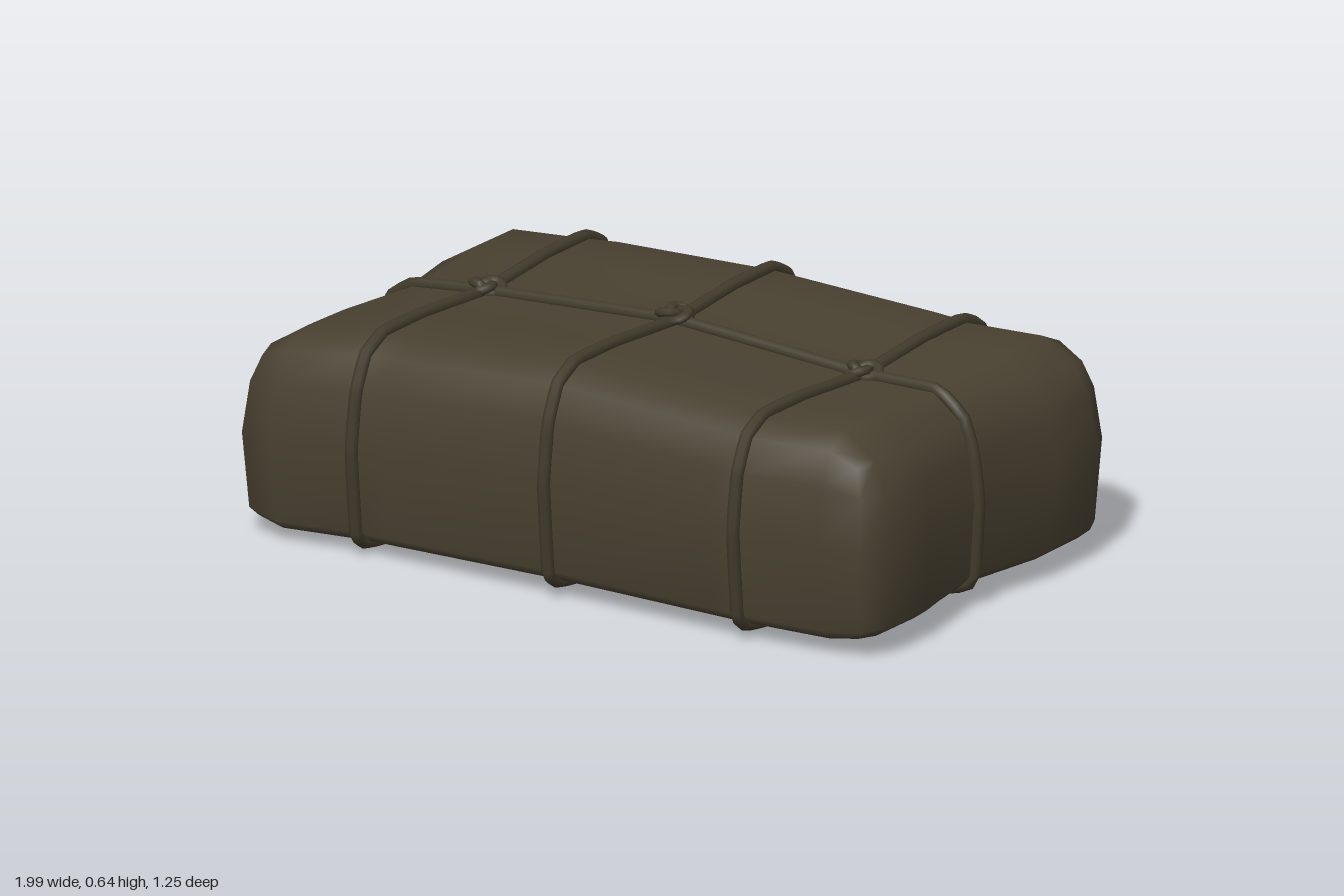
import * as THREE from 'three';
import { mergeVertices } from 'three/addons/utils/BufferGeometryUtils.js';

// Piecewise linear profile through [position, value] pairs
const profile = (t, pts) => {
  if (t <= pts[0][0]) return pts[0][1];
  for (let i = 1; i < pts.length; i++) {
    const [a, va] = pts[i - 1], [b, vb] = pts[i];
    if (t <= b) return va + (vb - va) * (t - a) / (b - a);
  }
  return pts[pts.length - 1][1];
};

const TOP = [[-1, 0.5], [-0.84, 0.535], [-0.6, 0.56], [0, 0.6], [0.59, 0.57], [0.84, 0.575], [1, 0.535]];
const BOTTOM = [[-1, 0.02], [-0.84, 0.003], [0, 0.018], [0.84, 0.015], [1, 0.028]];
const FRONT = [[-1, 0.62], [-0.84, 0.62], [-0.6, 0.585], [0, 0.575], [0.59, 0.565], [0.84, 0.54], [1, 0.54]];
const BACK = [[-1, 0.62], [-0.84, 0.61], [-0.6, 0.595], [-0.5, 0.61], [0, 0.575], [0.5, 0.615], [0.59, 0.6], [0.84, 0.625], [1, 0.625]];
const ENDS = [[-1, 0.985], [-0.5, 0.995], [-0.03, 0.95], [0.5, 1], [1, 0.995]];

// Grid lines of the bundle in box space, with lines under every rope
const XS = [-1, -0.84, -0.6, -0.5, 0, 0.5, 0.59, 0.84, 1];
const YS = [-1, -0.85, 0, 0.55, 1];
const ZS = [-1, -0.82, -0.5, -0.03, 0.5, 0.82, 1];

// Maps a box point (each axis -1..1) to the soft, lumpy bundle surface
function soften(u, v, w) {
  const p = [u, v, w];
  const k = [0.16, v < 0 ? 0.15 : 0.45, 0.18];
  const e = p.map((c, i) => Math.max(0, (Math.abs(c) - 1 + k[i]) / k[i]));
  const len = Math.hypot(...e);
  const s = len > 0 ? Math.max(...e) / len : 1;
  const [a, b, c] = p.map((q, i) => e[i] > 0 ? Math.sign(q) * (1 - k[i] + e[i] * s * k[i]) : q);
  const sag = Math.max(0, 1 - Math.abs(c) / 0.5);
  const top = profile(a, TOP) - 0.022 * sag;
  const low = profile(a, BOTTOM) + 0.01 * sag;
  const y = low + (top - low) * (b + 1) / 2;
  const z = c * profile(a, c > 0 ? FRONT : BACK) * profile(b, [[-1, 0.96], [-0.1, 1.01], [1, 0.94]]);
  const pinch = profile(c, ENDS) * profile(b, [[-1, 0.98], [-0.1, 1], [1, 0.965]]);
  const x = a * (1 - (1 - pinch) * Math.pow(Math.abs(a), 8));
  return new THREE.Vector3(x, y, z);
}

function bundleGeometry() {
  const geo = new THREE.BoxGeometry(2, 2, 2, XS.length - 1, YS.length - 1, ZS.length - 1);
  geo.deleteAttribute('uv');
  geo.deleteAttribute('normal');
  const pos = geo.attributes.position;
  const snap = (c, list) => list[Math.round((c + 1) / 2 * (list.length - 1))];
  for (let i = 0; i < pos.count; i++) {
    const q = soften(snap(pos.getX(i), XS), snap(pos.getY(i), YS), snap(pos.getZ(i), ZS));
    pos.setXYZ(i, q.x, q.y, q.z);
  }
  const merged = mergeVertices(geo, 1e-4);
  merged.computeVertexNormals();
  return merged;
}

// Perimeter of a grid slice as [a, b] pairs
function perimeter(as, bs) {
  const ra = [...as].reverse(), rb = [...bs].reverse();
  return [
    ...as.slice(0, -1).map(a => [a, -1]), ...bs.slice(0, -1).map(b => [1, b]),
    ...ra.slice(0, -1).map(a => [a, 1]), ...rb.slice(0, -1).map(b => [-1, b]),
  ];
}

// Rope pulled tight around one slice of the bundle
function ropeGeometry(slice, alongX) {
  const points = perimeter(alongX ? XS : ZS, YS).map(([a, v]) => {
    const edge = Math.abs(a) === 1 ? a : 0, up = Math.abs(v) === 1 ? v : 0;
    const out = new THREE.Vector3(alongX ? edge : 0, up, alongX ? 0 : edge).normalize();
    return (alongX ? soften(a, v, slice) : soften(slice, v, a)).addScaledVector(out, 0.006);
  });
  const curve = new THREE.CatmullRomCurve3(points, true, 'catmullrom', 0.15);
  return new THREE.TubeGeometry(curve, 120, 0.018, 8, true);
}

export function createModel() {
  const model = new THREE.Group();
  model.name = 'tiedBundle';
  const cloth = new THREE.MeshStandardMaterial({ name: 'brown cloth', color: 0x494131 });
  const cord = new THREE.MeshStandardMaterial({ name: 'dark cord', color: 0x423b2c });
  const add = (name, geo, mat) => {
    const mesh = new THREE.Mesh(geo, mat);
    mesh.name = name;
    model.add(mesh);
    return mesh;
  };

  add('bundle', bundleGeometry(), cloth);
  add('longRope', ropeGeometry(-0.03, true), cord);

  // Cross ropes, each knotted where it meets the long rope
  [[-0.6, 'right'], [0, 'middle'], [0.59, 'left']].forEach(([x, side], i) => {
    add(side + 'Rope', ropeGeometry(x, false), cord);
    const knot = add(side + 'Knot', new THREE.TorusKnotGeometry(0.028, 0.015, 56, 7, 2, 3), cord);
    knot.position.copy(soften(x, 1, -0.03));
    knot.position.y += i === 1 ? 0.024 : 0.016;
    knot.rotation.set(-Math.PI / 2, 0, 0.6 + i * 0.9);
    knot.scale.z = 0.8;
  });
  return model;
}
